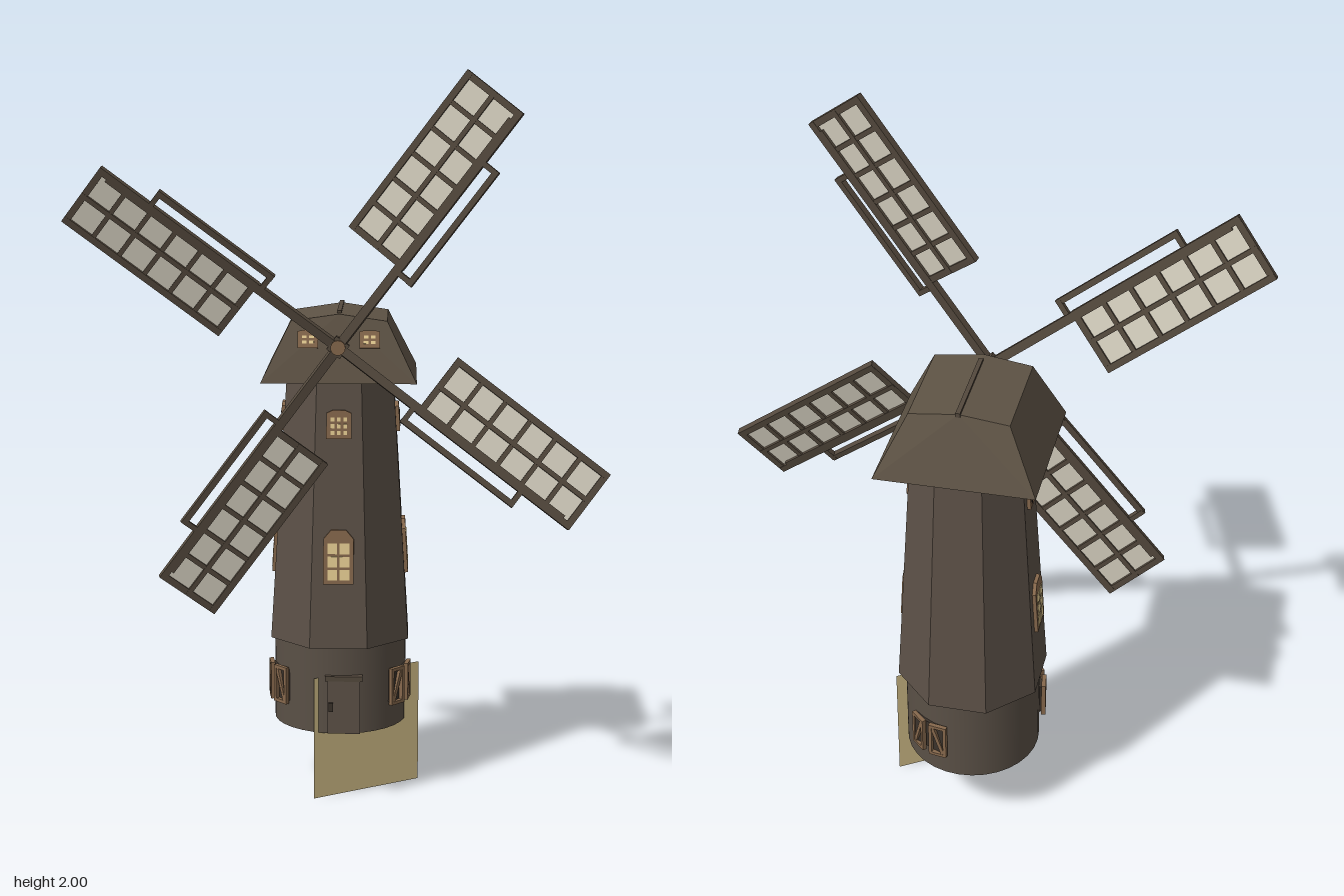
import * as THREE from 'three';
import { ConvexGeometry } from 'three/addons/geometries/ConvexGeometry.js';

const mat = (name, color, extra = {}) => {
  const m = new THREE.MeshStandardMaterial({ color, ...extra });
  m.name = name;
  return m;
};

export function createModel() {
  const wall = mat('dark wall timber', 0x5c5147, { flatShading: true });
  const stone = mat('base wall', 0x5a5046, { side: THREE.DoubleSide });
  const roof = mat('roof boards', 0x5e5345, { flatShading: true });
  const spar = mat('sail timber', 0x54493d);
  const cloth = mat('sail cloth', 0xd6d0c0);
  const wood = mat('window wood', 0x86684c);
  const glow = mat('lit panes', 0xe8cf94);
  const dark = mat('dark gaps', 0x3a322b);
  const sand = mat('sand panel', 0xcfbb86, { side: THREE.DoubleSide });

  const add = (parent, name, geo, material, x = 0, y = 0, z = 0) => {
    const m = new THREE.Mesh(geo, material);
    m.name = name;
    m.position.set(x, y, z);
    parent.add(m);
    return m;
  };
  const box = (parent, name, material, w, h, d, x, y, z) =>
    add(parent, name, new THREE.BoxGeometry(w, h, d), material, x, y, z);
  const group = (parent, name) => {
    const g = new THREE.Group();
    g.name = name;
    parent.add(g);
    return g;
  };

  const model = group(new THREE.Group(), 'windmill');
  model.removeFromParent();

  // Flat panel standing behind the doorway
  add(model, 'sandPanel', new THREE.PlaneGeometry(0.342, 0.347), sand, 0.146, 0.1735, -0.04);

  // The mill is turned towards its right
  const mill = group(model, 'mill');
  mill.position.set(0.13, 0, -0.16);
  mill.rotation.y = -0.56;

  // Place a part on the wall at a given angle, distance and height
  const onWall = (part, angle, dist, y, lean = 0) => {
    const pivot = group(mill, part.name + 'Mount');
    pivot.rotation.y = angle;
    part.position.set(part.position.x, y, dist);
    part.rotation.x = -lean;
    pivot.add(part);
  };

  // Round open base and eight-sided tapering tower
  add(mill, 'base', new THREE.CylinderGeometry(0.185, 0.185, 0.245, 32, 1, true), stone, 0, 0.3125, 0);
  const tower = add(mill, 'tower', new THREE.CylinderGeometry(0.157, 0.207, 0.76, 8), wall, 0, 0.815, 0);
  tower.rotation.y = Math.PI / 8;
  const slope = 0.0605;
  const wallDist = (y) => 0.191 - (y - 0.435) * slope;

  // Cap: hipped sides with a low ridge
  const pts = [];
  for (const s of [-1, 1]) {
    pts.push([s * 0.21, 1.172, 0.2], [s * 0.21, 1.172, -0.2]);
    pts.push([s * 0.13, 1.335, 0.15], [s * 0.13, 1.335, -0.13]);
  }
  pts.push([0, 1.354, 0.15], [0, 1.354, -0.135]);
  add(mill, 'cap', new ConvexGeometry(pts.map((p) => new THREE.Vector3(...p))), roof);
  box(mill, 'ridgeBeam', spar, 0.012, 0.012, 0.26, 0, 1.354, -0.01);

  // Window: wooden plate, pointed if arched, with rows of panes
  const makeWindow = (name, w, h, cols, rows, peak, paneMat) => {
    const g = new THREE.Group();
    g.name = name;
    const s = new THREE.Shape();
    s.moveTo(-w / 2, -h / 2);
    s.lineTo(w / 2, -h / 2);
    s.lineTo(w / 2, h / 2);
    s.lineTo(w * 0.25, h / 2 + peak);
    s.lineTo(-w * 0.25, h / 2 + peak);
    s.lineTo(-w / 2, h / 2);
    add(g, 'windowFrame', new THREE.ExtrudeGeometry(s, { depth: 0.014, bevelEnabled: false }), wood, 0, 0, -0.004);
    const cw = (w - 0.016) / cols, ch = (h - 0.016) / rows;
    for (let i = 0; i < cols; i++)
      for (let j = 0; j < rows; j++)
        box(g, 'pane', paneMat, cw - 0.007, ch - 0.007, 0.004,
          (i - (cols - 1) / 2) * cw, (j - (rows - 1) / 2) * ch, 0.0095);
    return g;
  };

  // Two storeys of windows on the front and both sides
  for (const a of [-Math.PI / 2, 0, Math.PI / 2]) {
    onWall(makeWindow('lowerWindow', 0.083, 0.125, 2, 3, 0.025, glow), a, wallDist(0.678), 0.678, slope);
    onWall(makeWindow('upperWindow', 0.068, 0.07, 3, 3, 0.008, a === 0 ? glow : dark), a, wallDist(1.05), 1.05, slope);
  }
  for (const s of [-1, 1]) {
    const w = makeWindow('capWindow', 0.055, 0.045, 2, 2, 0.003, glow);
    w.position.x = s * 0.083;
    onWall(w, 0, 0.165, 1.285, 0.294);
  }

  // Shuttered openings around the base
  for (const deg of [64, 154, -64]) {
    const g = new THREE.Group();
    g.name = 'shutterWindow';
    box(g, 'shutterOpening', dark, 0.1, 0.09, 0.03, 0, 0, -0.008);
    for (const s of [-1, 1]) {
      const leaf = group(g, 'shutter');
      leaf.position.set(s * 0.033, 0, 0.01);
      leaf.rotation.y = s * 0.3;
      for (const e of [-1, 1]) {
        box(leaf, 'shutterPost', wood, 0.009, 0.105, 0.012, e * 0.021, 0, 0);
        box(leaf, 'shutterRail', wood, 0.042, 0.009, 0.012, 0, e * 0.048, 0);
      }
      box(leaf, 'shutterBrace', wood, 0.01, 0.1, 0.01, 0, 0, 0).rotation.z = s * 0.34;
    }
    onWall(g, THREE.MathUtils.degToRad(deg), 0.185, 0.31);
  }

  // Door
  box(mill, 'door', wall, 0.09, 0.155, 0.026, 0.015, 0.27, 0.18);
  box(mill, 'doorLintel', spar, 0.104, 0.014, 0.034, 0.015, 0.35, 0.18);
  box(mill, 'doorHandle', dark, 0.012, 0.025, 0.012, -0.02, 0.27, 0.197);

  // Axle and four sails
  const hub = group(mill, 'rotor');
  hub.position.set(0, 1.275, 0.23);
  const axle = add(hub, 'axle', new THREE.CylinderGeometry(0.02, 0.02, 0.13, 16), wood, 0, 0, -0.045);
  axle.rotation.x = Math.PI / 2;
  box(hub, 'hubBlock', spar, 0.044, 0.044, 0.022, 0, 0, 0).rotation.z = 0.93;

  const x0 = 0.27, x1 = 0.78, y0 = -0.012, y1 = 0.172;
  const len = x1 - x0, wid = y1 - y0, cx = (x0 + x1) / 2, cy = (y0 + y1) / 2;
  for (let k = 0; k < 4; k++) {
    const turn = group(hub, 'sail');
    turn.rotation.z = 0.925 + (k * Math.PI) / 2;
    // Each sail leans forward and is pitched about its stock
    const sail = group(turn, 'sailPitch');
    sail.rotation.set(-0.23, -0.08, 0, 'YXZ');
    box(sail, 'stock', spar, 0.75, 0.024, 0.02, 0.375, 0, 0);
    box(sail, 'sailCloth', cloth, len - 0.01, wid - 0.01, 0.004, cx, cy, 0);
    // Lattice: two columns of six openings
    for (let i = 0; i <= 6; i++) {
      const t = i % 6 ? 0.013 : 0.018;
      box(sail, 'crossBar', spar, t, wid, 0.018, x0 + 0.008 + (i * (len - 0.016)) / 6, cy, 0);
    }
    for (let j = 0; j <= 2; j++) {
      const t = j === 1 ? 0.013 : 0.018;
      box(sail, 'longBar', spar, len, t, 0.02, cx, y0 + 0.008 + (j * (wid - 0.016)) / 2, 0);
    }
    // Narrow leading frame on the other side of the stock
    box(sail, 'leadingBar', spar, 0.375, 0.016, 0.018, 0.437, -0.05, 0.004);
    for (const x of [0.257, 0.618]) box(sail, 'leadingTie', spar, 0.014, 0.055, 0.016, x, -0.028, 0.002);
  }

  return model;
}
